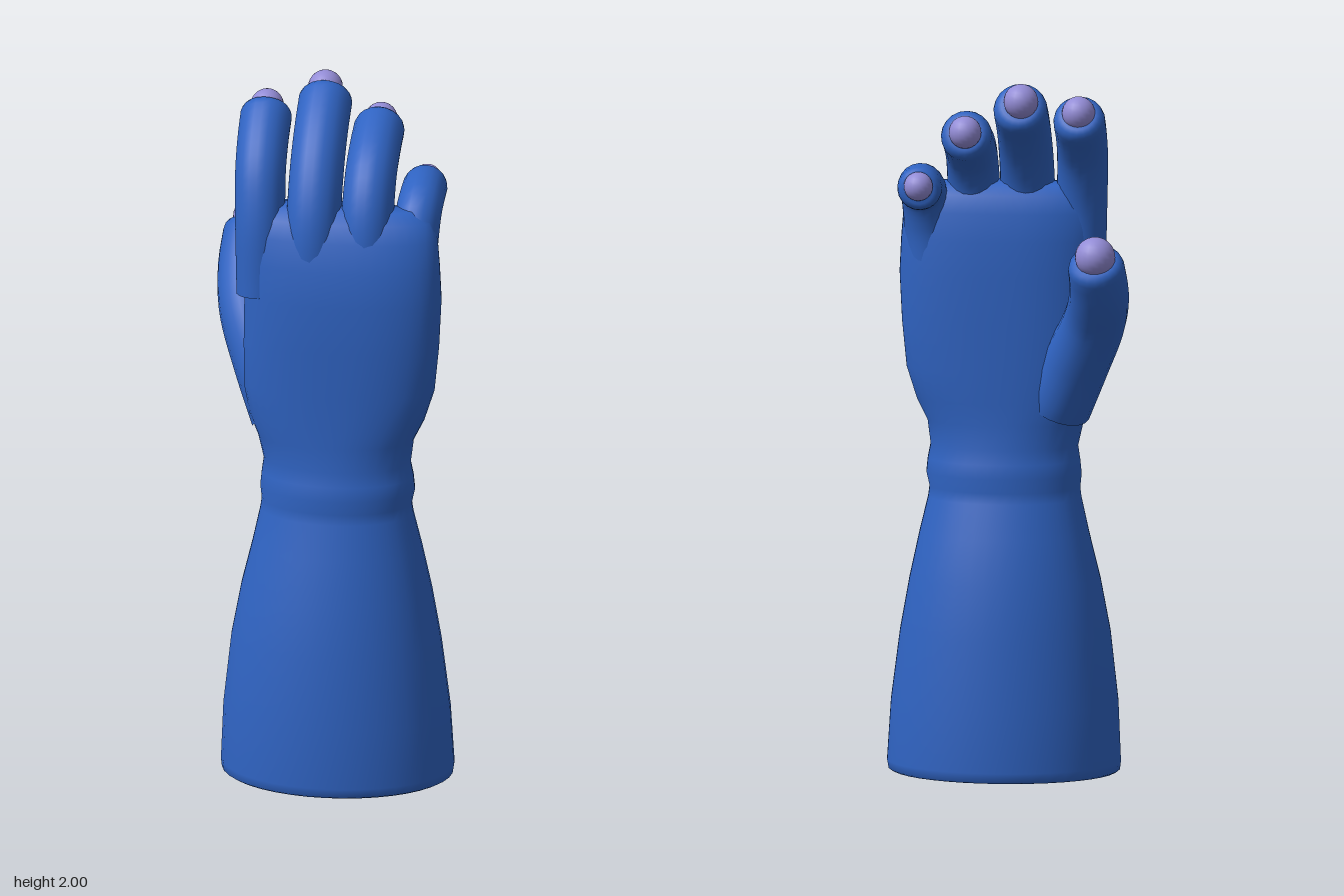
import * as THREE from 'three';

const blue = new THREE.MeshStandardMaterial({ color: 0x2f63c2 });
blue.name = 'glove blue';
const lilac = new THREE.MeshStandardMaterial({ color: 0x938cd6 });
lilac.name = 'skin lilac';

// Skin a list of rings (each an array of Vector3), closing around and optionally capping the end
function loft(rings) {
  const n = rings[0].length, pos = [], idx = [];
  rings.forEach(r => r.forEach(p => pos.push(p.x, p.y, p.z)));
  for (let j = 0; j < rings.length - 1; j++) {
    for (let i = 0; i < n; i++) {
      const a = j * n + i, b = j * n + (i + 1) % n;
      idx.push(a, a + n, b, b, a + n, b + n);
    }
  }
  const g = new THREE.BufferGeometry();
  g.setAttribute('position', new THREE.Float32BufferAttribute(pos, 3));
  g.setIndex(idx);
  g.computeVertexNormals();
  return g;
}

// Horizontal superellipse ring from its extents
function ring([y, x0, x1, z0, z1, e = 2], n = 40) {
  const cx = (x0 + x1) / 2, cz = (z0 + z1) / 2;
  const pw = v => Math.sign(v) * Math.pow(Math.abs(v), 2 / e);
  return Array.from({ length: n }, (_, i) => {
    const a = i / n * Math.PI * 2;
    return new THREE.Vector3(cx + pw(Math.cos(a)) * (x1 - x0) / 2, y, cz + pw(Math.sin(a)) * (z1 - z0) / 2);
  });
}

// Bent tube with a changing radius and a rounded, blunt tip
function fingerGeometry(points, r0, r1) {
  const steps = 18, sides = 20;
  const curve = new THREE.CatmullRomCurve3(points.map(p => new THREE.Vector3(...p)));
  const f = curve.computeFrenetFrames(steps, false);
  const rings = [];
  const addRing = (k, r, push) => {
    const c = curve.getPointAt(k / steps).addScaledVector(f.tangents[k], push);
    rings.push(Array.from({ length: sides }, (_, i) => {
      const a = i / sides * Math.PI * 2;
      return c.clone().addScaledVector(f.normals[k], Math.cos(a) * r)
        .addScaledVector(f.binormals[k], -Math.sin(a) * r);
    }));
  };
  for (let k = 0; k <= steps; k++) addRing(k, THREE.MathUtils.lerp(r0, r1, k / steps), 0);
  [[0.95, 0.015], [0.84, 0.026], [0.68, 0.032], [0.001, 0.033]].forEach(([s, d]) => addRing(steps, r1 * s, d));
  return loft(rings);
}

export function createModel() {
  const group = new THREE.Group();
  const add = (name, geometry, material) => {
    const m = new THREE.Mesh(geometry, material);
    m.name = name;
    group.add(m);
    return m;
  };

  // Sleeve, wrist and palm: inner lining first, then the rim and the outside
  const sections = [
    [0.86, 0.019, 0.021, 0.059, 0.061],
    [0.85, -0.16, 0.20, -0.05, 0.17],
    [0.55, -0.22, 0.26, -0.12, 0.23],
    [0.2, -0.27, 0.31, -0.155, 0.275],
    [0.03, -0.28, 0.32, -0.162, 0.283],
    [0.006, -0.288, 0.328, -0.17, 0.29],
    [0, -0.297, 0.337, -0.18, 0.30],
    [0.006, -0.306, 0.348, -0.189, 0.309],
    [0.03, -0.309, 0.352, -0.192, 0.312],
    [0.2, -0.302, 0.341, -0.185, 0.304],
    [0.4, -0.28, 0.315, -0.167, 0.283],
    [0.55, -0.252, 0.288, -0.147, 0.257],
    [0.68, -0.22, 0.26, -0.115, 0.228],
    [0.78, -0.198, 0.236, -0.085, 0.203],
    [0.81, -0.194, 0.232, -0.078, 0.198],
    [0.85, -0.198, 0.241, -0.084, 0.204],
    [0.89, -0.194, 0.237, -0.075, 0.195],
    [0.93, -0.188, 0.229, -0.066, 0.186],
    [1.0, -0.204, 0.238, -0.062, 0.184, 2.1],
    [1.06, -0.228, 0.268, -0.061, 0.182, 2.2],
    [1.15, -0.245, 0.297, -0.06, 0.181, 2.2],
    [1.28, -0.245, 0.31, -0.056, 0.181, 2.3],
    [1.42, -0.243, 0.317, -0.052, 0.179, 2.3],
    [1.52, -0.252, 0.312, -0.045, 0.167, 2.3],
    [1.6, -0.262, 0.305, -0.036, 0.145, 2.3],
    [1.65, -0.255, 0.285, -0.02, 0.122, 2.3],
    [1.68, -0.22, 0.24, 0.0, 0.095, 2.2],
    [1.69, 0.019, 0.021, 0.049, 0.051],
  ];
  add('sleeveAndPalm', loft(sections.map(s => ring(s))), blue);

  // Digits: bent path, base and tip radius, then the exposed fingertip centre and radius
  const digits = {
    indexFinger: [[[-0.195, 1.42, 0.07], [-0.2, 1.64, 0.055], [-0.205, 1.76, 0.015], [-0.207, 1.835, -0.045], [-0.207, 1.885, -0.105]],
      0.07, 0.073, [-0.207, 1.91, -0.125], 0.047],
    middleFinger: [[[-0.045, 1.42, 0.08], [-0.045, 1.65, 0.07], [-0.045, 1.78, 0.01], [-0.045, 1.87, -0.075], [-0.045, 1.922, -0.15]],
      0.078, 0.076, [-0.05, 1.951, -0.185], 0.049],
    ringFinger: [[[0.11, 1.42, 0.07], [0.107, 1.66, 0.06], [0.107, 1.76, 0.005], [0.107, 1.815, -0.08], [0.107, 1.845, -0.155]],
      0.076, 0.072, [0.107, 1.862, -0.195], 0.046],
    littleFinger: [[[0.22, 1.38, 0.05], [0.235, 1.56, 0.04], [0.242, 1.655, 0.0], [0.244, 1.685, -0.065], [0.242, 1.689, -0.128]],
      0.07, 0.063, [0.242, 1.7, -0.165], 0.041],
    thumb: [[[-0.13, 1.05, 0.04], [-0.19, 1.18, -0.01], [-0.248, 1.31, -0.085], [-0.27, 1.41, -0.175], [-0.268, 1.487, -0.234]],
      0.1, 0.08, [-0.267, 1.523, -0.26], 0.057],
  };
  for (const [name, [path, r0, r1, tip, tipR]] of Object.entries(digits)) {
    add(name, fingerGeometry(path, r0, r1), blue);
    add(name + 'Tip', new THREE.SphereGeometry(tipR, 20, 14), lilac).position.set(...tip);
  }

  // Small patch of skin showing between thumb and palm
  const patch = add('thumbGapSkin', new THREE.SphereGeometry(1, 14, 10), lilac);
  patch.scale.set(0.018, 0.05, 0.025);
  patch.position.set(-0.225, 1.45, -0.01);

  return group;
}
